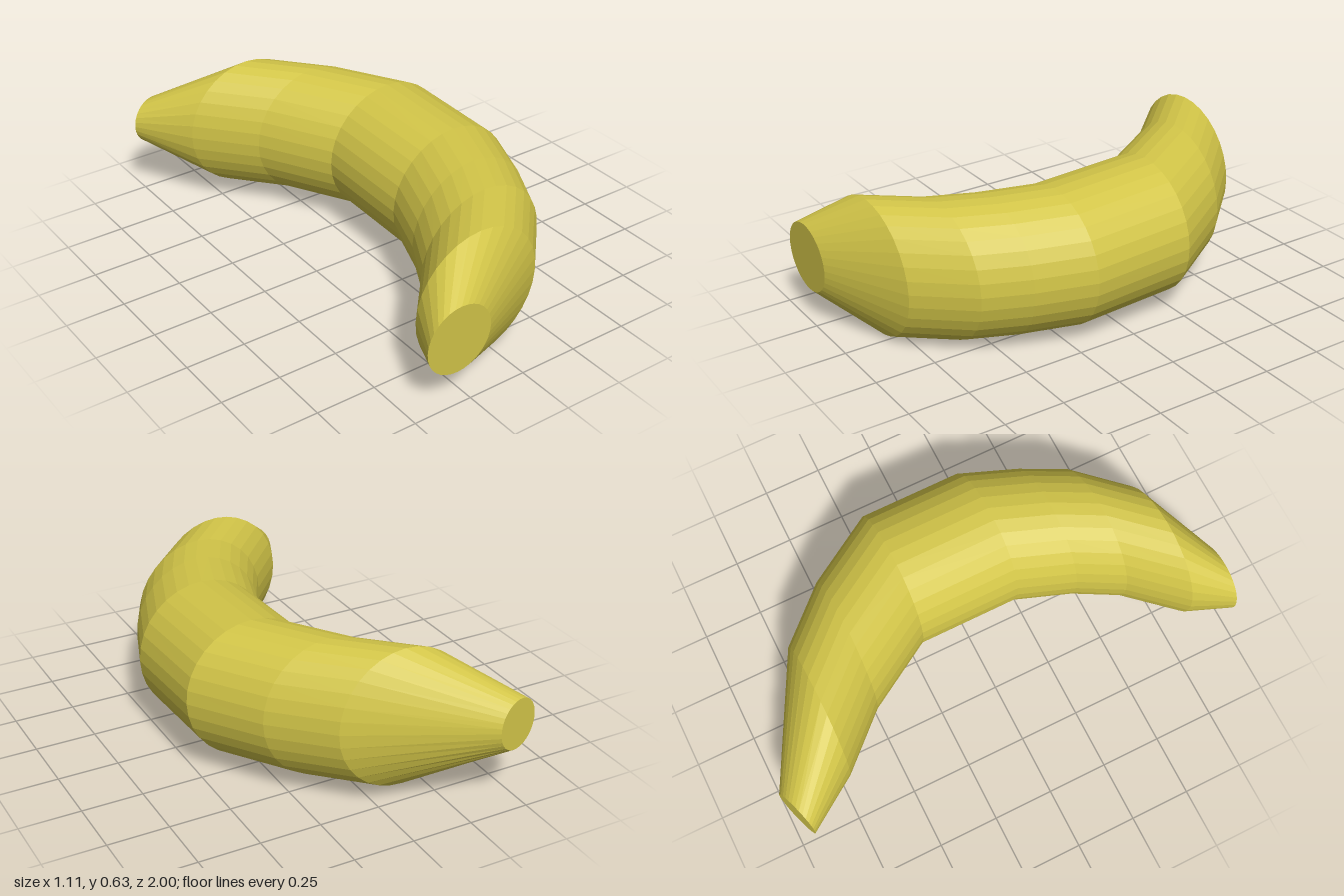
import * as THREE from 'three';

const SIDES = 32;

// Rings from back to front: inner x, inner z, outer x, outer z, centre y, vertical radius
const RINGS = [
  [-0.555, -0.935, -0.36, -1.0, 0.355, 0.103],
  [-0.40, -0.715, 0.163, -0.725, 0.35, 0.285],
  [-0.20, -0.503, 0.365, -0.512, 0.342, 0.285],
  [-0.025, -0.217, 0.545, -0.227, 0.332, 0.286],
  [-0.02, 0.213, 0.553, 0.205, 0.315, 0.286],
  [-0.10, 0.443, 0.468, 0.435, 0.305, 0.286],
  [-0.195, 0.623, 0.38, 0.615, 0.298, 0.286],
  [-0.375, 0.828, 0.195, 0.818, 0.29, 0.286],
  [-0.45, 0.997, -0.16, 0.99, 0.285, 0.145],
];

// Point on a ring; each ring leans slightly forward at the top
function ringPoint([ix, iz, ox, oz, y, r], j) {
  const a = (j / SIDES) * Math.PI * 2;
  const c = Math.cos(a), s = Math.sin(a);
  return [
    (ix + ox) / 2 + ((ox - ix) / 2) * c,
    y + r * s,
    (iz + oz) / 2 + ((oz - iz) / 2) * c + r * 0.03 * s,
  ];
}

function buildGeometry(triangles) {
  const geometry = new THREE.BufferGeometry();
  geometry.setAttribute('position', new THREE.Float32BufferAttribute(triangles.flat(), 3));
  geometry.computeVertexNormals();
  return geometry;
}

// Curved skin between neighbouring rings
function skinGeometry() {
  const points = [];
  for (let i = 0; i < RINGS.length - 1; i++) {
    for (let j = 0; j < SIDES; j++) {
      const a = ringPoint(RINGS[i], j), b = ringPoint(RINGS[i], j + 1);
      const c = ringPoint(RINGS[i + 1], j + 1), d = ringPoint(RINGS[i + 1], j);
      points.push(a, b, c, a, c, d);
    }
  }
  return buildGeometry(points);
}

// Flat disc closing one end
function capGeometry(ring, facesFront) {
  const centre = [(ring[0] + ring[2]) / 2, ring[4], (ring[1] + ring[3]) / 2];
  const points = [];
  for (let j = 0; j < SIDES; j++) {
    const a = ringPoint(ring, j), b = ringPoint(ring, j + 1);
    points.push(centre, ...(facesFront ? [a, b] : [b, a]));
  }
  return buildGeometry(points);
}

export function createModel() {
  const group = new THREE.Group();
  group.name = 'banana';
  const material = new THREE.MeshStandardMaterial({ color: 0xd2c548, flatShading: true });

  const add = (name, geometry) => {
    const mesh = new THREE.Mesh(geometry, material);
    mesh.name = name;
    group.add(mesh);
  };
  add('skin', skinGeometry());
  add('stemEnd', capGeometry(RINGS[0], false));
  add('blossomEnd', capGeometry(RINGS[RINGS.length - 1], true));
  return group;
}
